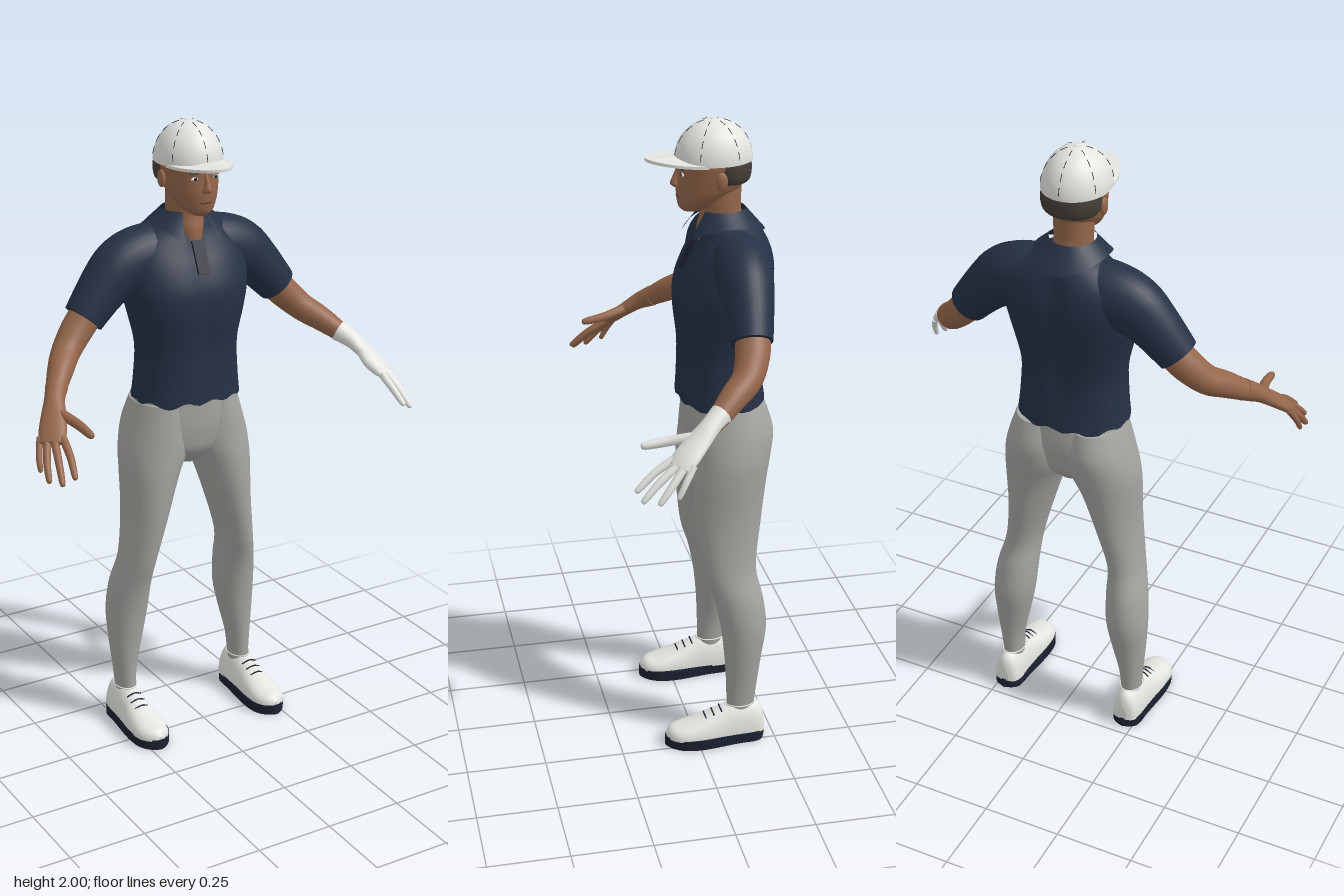
import * as THREE from 'three';
import { ParametricGeometry } from 'three/addons/geometries/ParametricGeometry.js';

const mat = (name, color, side = THREE.FrontSide) => {
  const m = new THREE.MeshStandardMaterial({ color, side });
  m.name = name;
  return m;
};
const V = (x, y, z) => new THREE.Vector3(x, y, z);

// Smooth loft through rings [x, y, z, radiusU, radiusV, squareness].
// With an axis all rings stay square to it, otherwise they follow the path.
function loft(keys, { ref = V(1, 0, 0), axis = null, seg = 28, steps = 4, deform = null } = {}) {
  const rings = [];
  const key = i => keys[Math.min(Math.max(i, 0), keys.length - 1)];
  for (let i = 0; i < keys.length - 1; i++) {
    for (let s = 0; s < steps + (i === keys.length - 2 ? 1 : 0); s++) {
      const t = s / steps;
      rings.push([0, 1, 2, 3, 4, 5].map(c => {
        const [a, b, d, e] = [-1, 0, 1, 2].map(o => key(i + o)[c] ?? 2);
        return 0.5 * (2 * b + (d - a) * t + (2 * a - 5 * b + 4 * d - e) * t * t + (3 * b - a - 3 * d + e) * t ** 3);
      }));
    }
  }
  const pos = [], idx = [], n = rings.length;
  const centre = i => V(...rings[Math.min(Math.max(i, 0), n - 1)].slice(0, 3));
  const power = (v, e) => Math.sign(v) * Math.abs(v) ** (2 / e);
  rings.forEach((r, i) => {
    let T = centre(i + 1).sub(centre(i - 1)).normalize();
    if (axis) T = axis.clone().multiplyScalar(Math.sign(centre(n).sub(centre(0)).dot(axis)));
    const U = ref.clone().addScaledVector(T, -ref.dot(T)).normalize();
    const W = U.clone().cross(T);
    for (let j = 0; j < seg; j++) {
      const a = j / seg * Math.PI * 2;
      const p = centre(i).addScaledVector(U, r[3] * power(Math.cos(a), r[5])).addScaledVector(W, r[4] * power(Math.sin(a), r[5]));
      if (deform) deform(p, r);
      pos.push(p.x, p.y, p.z);
    }
  });
  for (let i = 0; i < n - 1; i++) for (let j = 0; j < seg; j++) {
    const a = i * seg + j, b = i * seg + (j + 1) % seg;
    idx.push(a, a + seg, b, b, a + seg, b + seg);
  }
  // end caps on their own vertices, so their edges stay sharp
  for (const end of [0, n - 1]) {
    const base = pos.length / 3;
    pos.push(...pos.slice(end * seg * 3, (end + 1) * seg * 3), ...centre(end).toArray());
    for (let j = 0; j < seg; j++) {
      const a = base + j, b = base + (j + 1) % seg;
      idx.push(base + seg, ...(end ? [b, a] : [a, b]));
    }
  }
  const g = new THREE.BufferGeometry();
  g.setAttribute('position', new THREE.Float32BufferAttribute(pos, 3));
  g.setIndex(idx);
  g.computeVertexNormals();
  return g;
}

// Mirror an indexed geometry to the other side of the body
function mirrored(g) {
  const m = g.clone();
  for (let i = 0; i < m.attributes.position.count; i++) m.attributes.position.setX(i, -m.attributes.position.getX(i));
  const ix = m.index.array;
  for (let i = 0; i < ix.length; i += 3) [ix[i], ix[i + 1]] = [ix[i + 1], ix[i]];
  m.computeVertexNormals();
  return m;
}

export function createModel() {
  const white = mat('white', 0xe4e4e0, THREE.DoubleSide), grey = mat('trouserGrey', 0xa5a6a1);
  const skin = mat('skin', 0x94664a), navy = mat('shirtNavy', 0x253145, THREE.DoubleSide);
  const dark = mat('darkNavy', 0x1a2130), hairBrown = mat('hairBrown', 0x463e37), lip = mat('lipBrown', 0x6b4539);
  const root = new THREE.Group();
  root.name = 'golfer';
  const add = (name, geo, material, parent = root) => {
    const m = new THREE.Mesh(geo, material);
    m.name = name;
    parent.add(m);
    return m;
  };
  const pair = (name, geo, leftMat, rightMat = leftMat) => {
    add(name + 'Left', geo, leftMat);
    add(name + 'Right', mirrored(geo), rightMat);
  };
  const blob = (x, y, z, sx, sy, sz) => new THREE.SphereGeometry(1, 16, 12).scale(sx, sy, sz).translate(x, y, z);
  const Y = V(0, 1, 0), Z = V(0, 0, 1);

  // Trousers
  add('trouserSeat', loft([[0, 0.9, -0.12, 0.04, 0.05], [0, 0.95, -0.123, 0.15, 0.095], [0, 1.0, -0.125, 0.2, 0.11],
    [0, 1.06, -0.127, 0.19, 0.118], [0, 1.16, -0.122, 0.16, 0.112]], { axis: Y, seg: 40 }), grey);
  pair('trouserLeg', loft([[0.217, 0.1, -0.14, 0.03, 0.043], [0.217, 0.2, -0.145, 0.038, 0.05], [0.21, 0.3, -0.15, 0.055, 0.06],
    [0.2025, 0.4, -0.152, 0.067, 0.073], [0.195, 0.5, -0.137, 0.065, 0.078], [0.18, 0.6, -0.112, 0.056, 0.083],
    [0.152, 0.75, -0.112, 0.069, 0.103], [0.13, 0.88, -0.12, 0.092, 0.115], [0.11, 0.96, -0.13, 0.109, 0.122],
    [0.1, 1.04, -0.137, 0.1, 0.125], [0.09, 1.12, -0.13, 0.085, 0.11]], { axis: Y }), grey);

  // Shirt body with a spine groove, chest and an uneven hem
  const shape = p => {
    const body = THREE.MathUtils.smoothstep(p.y, 1.15, 1.35) * (1 - THREE.MathUtils.smoothstep(p.y, 1.6, 1.68));
    if (p.z < -0.14) p.z += 0.018 * body * Math.exp(-((p.x / 0.035) ** 2));
    else if (p.z > -0.06) p.z -= 0.008 * body * Math.exp(-((p.x / 0.03) ** 2));
    if (p.y < 1.135) p.y += 0.006 * Math.sin(p.x * 70) + 0.004 * Math.sin(p.z * 90);
  };
  add('shirtBody', loft([[0, 1.125, -0.115, 0.175, 0.135, 2.3], [0, 1.2, -0.112, 0.168, 0.128, 2.3], [0, 1.3, -0.11, 0.165, 0.125, 2.3],
    [0, 1.4, -0.112, 0.185, 0.137, 2.4], [0, 1.48, -0.12, 0.203, 0.143, 2.4], [0, 1.55, -0.135, 0.205, 0.134, 2.4],
    [0, 1.61, -0.146, 0.19, 0.115, 2.3], [0, 1.655, -0.147, 0.15, 0.096], [0, 1.685, -0.14, 0.1, 0.08],
    [0, 1.7, -0.13, 0.06, 0.06]], { axis: Y, seg: 64, deform: shape }), navy);
  pair('sleeve', loft([[0.07, 1.585, -0.145, 0.09, 0.098], [0.15, 1.575, -0.145, 0.09, 0.1], [0.215, 1.55, -0.142, 0.084, 0.094],
    [0.275, 1.5, -0.138, 0.074, 0.078], [0.345, 1.42, -0.13, 0.063, 0.064]], { ref: Z }), navy);

  // Folded collar, open at the front
  add('collar', new ParametricGeometry((u, v, out) => {
    const a = (u * 2 - 1) * 2.6;
    out.set(Math.sin(a) * (0.07 + 0.045 * v),
      1.725 - 0.07 * v - 0.02 * v * (a / 2.6) ** 4 + 0.035 * v * Math.sin(a) ** 2,
      -0.12 - Math.cos(a) * (0.07 + 0.06 * v));
  }, 40, 5), navy);
  const placket = add('placket', new THREE.BoxGeometry(0.04, 0.105, 0.008), dark);
  placket.position.set(0, 1.59, -0.016);
  placket.rotation.x = -0.42;

  // Arms and hands, the left hand gloved
  pair('arm', loft([[0.31, 1.455, -0.135, 0.05, 0.05], [0.36, 1.4, -0.13, 0.052, 0.05], [0.42, 1.34, -0.1, 0.046, 0.044],
    [0.465, 1.305, -0.05, 0.041, 0.039], [0.51, 1.265, 0.005, 0.032, 0.03], [0.535, 1.243, 0.038, 0.027, 0.025]], { ref: Z }), skin);
  const across = V(-0.69, 0, 0.73);
  pair('palm', loft([[0.503, 1.271, -0.003, 0.034, 0.034], [0.53, 1.247, 0.035, 0.031, 0.027], [0.552, 1.217, 0.072, 0.038, 0.022],
    [0.578, 1.18, 0.115, 0.043, 0.019], [0.593, 1.157, 0.138, 0.038, 0.014]], { ref: across }), white, skin);
  const fingers = {
    indexFinger: [[0.56, 1.175, 0.14], [0.567, 1.135, 0.205], [0.58, 1.086, 0.262]],
    middleFinger: [[0.582, 1.168, 0.133], [0.6, 1.12, 0.196], [0.615, 1.068, 0.25]],
    ringFinger: [[0.598, 1.167, 0.12], [0.623, 1.115, 0.165], [0.636, 1.066, 0.205]],
    littleFinger: [[0.612, 1.168, 0.1], [0.63, 1.122, 0.128], [0.637, 1.08, 0.15]],
    thumb: [[0.54, 1.225, 0.07], [0.514, 1.207, 0.15], [0.507, 1.194, 0.232]],
  };
  for (const [name, [a, b, c]] of Object.entries(fingers)) {
    const r = name === 'thumb' ? 0.016 : name === 'littleFinger' ? 0.0105 : 0.0125;
    const near = b.map((v, i) => v + (c[i] - v) * 0.85);
    pair(name, loft([[...a, r, r], [...b, r * 0.92, r * 0.92], [...near, r * 0.72, r * 0.72], [...c, r * 0.25, r * 0.25]],
      { ref: across, seg: 12 }), white, skin);
  }

  // Neck and head
  add('neck', loft([[0, 1.63, -0.12, 0.05, 0.08], [0, 1.67, -0.12, 0.056, 0.078], [0, 1.72, -0.115, 0.058, 0.062],
    [0, 1.8, -0.11, 0.06, 0.068]], { axis: Y }), skin);
  add('head', loft([[0, 1.722, -0.025, 0.02, 0.025], [0, 1.738, -0.037, 0.045, 0.052], [0, 1.77, -0.06, 0.066, 0.08],
    [0, 1.8, -0.08, 0.077, 0.102], [0, 1.84, -0.09, 0.085, 0.109], [0, 1.88, -0.09, 0.088, 0.108], [0, 1.92, -0.09, 0.07, 0.09]],
    { axis: Y, seg: 36 }), skin);
  add('hair', loft([[0, 1.812, -0.13, 0.078, 0.066], [0, 1.825, -0.13, 0.088, 0.074], [0, 1.86, -0.13, 0.092, 0.076],
    [0, 1.9, -0.125, 0.085, 0.07]], { axis: Y }), hairBrown);
  add('nose', loft([[0, 1.797, 0.015, 0.014, 0.014], [0, 1.807, 0.02, 0.015, 0.02], [0, 1.83, 0.015, 0.009, 0.017],
    [0, 1.855, 0.008, 0.008, 0.013]], { axis: Y, seg: 16 }), skin);
  add('lips', blob(0, 1.768, 0.015, 0.022, 0.006, 0.006), lip);
  pair('ear', blob(0.088, 1.828, -0.098, 0.011, 0.028, 0.018), skin);
  pair('eye', blob(0.035, 1.842, 0.01, 0.014, 0.006, 0.004), white);
  pair('iris', blob(0.035, 1.842, 0.0125, 0.006, 0.0055, 0.003), dark);
  pair('eyebrow', blob(0.037, 1.86, 0.01, 0.019, 0.004, 0.005), hairBrown);

  // Cap with stitched panel seams, button and brim
  const cap = new THREE.Group();
  cap.name = 'cap';
  cap.position.set(0, 1.875, -0.092);
  root.add(cap);
  add('capDome', new THREE.SphereGeometry(1, 40, 16, 0, Math.PI * 2, 0, Math.PI / 2).scale(0.102, 0.122, 0.118), white, cap);
  add('capButton', blob(0, 0.122, 0, 0.01, 0.003, 0.01), white, cap);
  const onDome = (a, t) => V(Math.sin(a) * Math.sin(t) * 0.1025, Math.cos(t) * 0.1225, Math.cos(a) * Math.sin(t) * 0.1185);
  for (let k = 0; k < 6; k++) for (let d = 0; d < 4; d++) {
    const a = k * Math.PI / 3, t = 0.25 + d * 0.33;
    const dash = new THREE.CatmullRomCurve3([onDome(a, t), onDome(a, t + 0.1), onDome(a, t + 0.2)]);
    add('capSeam', new THREE.TubeGeometry(dash, 4, 0.001, 5), dark, cap);
  }
  const brimShape = new THREE.Shape();
  brimShape.moveTo(-0.095, -0.06);
  brimShape.bezierCurveTo(-0.095, 0.02, -0.05, 0.115, 0, 0.115);
  brimShape.bezierCurveTo(0.05, 0.115, 0.095, 0.02, 0.095, -0.06);
  brimShape.bezierCurveTo(0.06, 0.01, -0.06, 0.01, -0.095, -0.06);
  const brim = new THREE.ExtrudeGeometry(brimShape, { depth: 0.009, bevelEnabled: false, curveSegments: 20 }).rotateX(Math.PI / 2);
  const bp = brim.attributes.position;
  for (let i = 0; i < bp.count; i++) bp.setY(i, bp.getY(i) + 1.89 - 1.2 * bp.getX(i) ** 2);
  brim.computeVertexNormals();
  add('capBrim', brim, white);

  // Shoes: upper, sole, laces and ankle trim
  const upper = loft([[0.219, 0.03, -0.218, 0.015, 0.05], [0.219, 0.03, -0.208, 0.036, 0.085], [0.219, 0.03, -0.18, 0.046, 0.102],
    [0.22, 0.03, -0.12, 0.049, 0.103], [0.221, 0.03, -0.07, 0.052, 0.088], [0.222, 0.03, -0.01, 0.057, 0.062, 2.3],
    [0.222, 0.03, 0.05, 0.055, 0.042, 2.4], [0.221, 0.03, 0.085, 0.038, 0.033, 2.3], [0.22, 0.03, 0.102, 0.012, 0.015]],
    { axis: Z, deform: p => { p.y = Math.max(p.y, 0.03); } });
  pair('shoeUpper', upper, white);
  const outline = new THREE.Shape();
  outline.moveTo(0.22, -0.221);
  outline.splineThru([[0.178, -0.195], [0.17, -0.12], [0.16, 0], [0.172, 0.07], [0.22, 0.106], [0.268, 0.07], [0.284, 0],
    [0.27, -0.12], [0.262, -0.195], [0.22, -0.221]].map(p => new THREE.Vector2(...p)));
  const sole = new THREE.ExtrudeGeometry(outline, { depth: 0.034, bevelEnabled: false, curveSegments: 40 }).rotateX(Math.PI / 2).translate(0, 0.034, 0);
  add('soleLeft', sole, dark);
  add('soleRight', sole.clone().translate(-0.44, 0, 0), dark);
  for (const [z, y] of [[-0.075, 0.121], [-0.05, 0.111], [-0.025, 0.1]]) {
    const lace = new THREE.CatmullRomCurve3([V(0.196, y - 0.01, z), V(0.221, y, z + 0.004), V(0.247, y - 0.01, z)]);
    pair('lace', new THREE.TubeGeometry(lace, 8, 0.0025, 6), dark);
  }
  pair('ankleTrim', new THREE.TorusGeometry(1, 0.05, 6, 28).rotateX(Math.PI / 2).scale(0.036, 0.05, 0.048).translate(0.218, 0.128, -0.14), white);
  return root;
}
